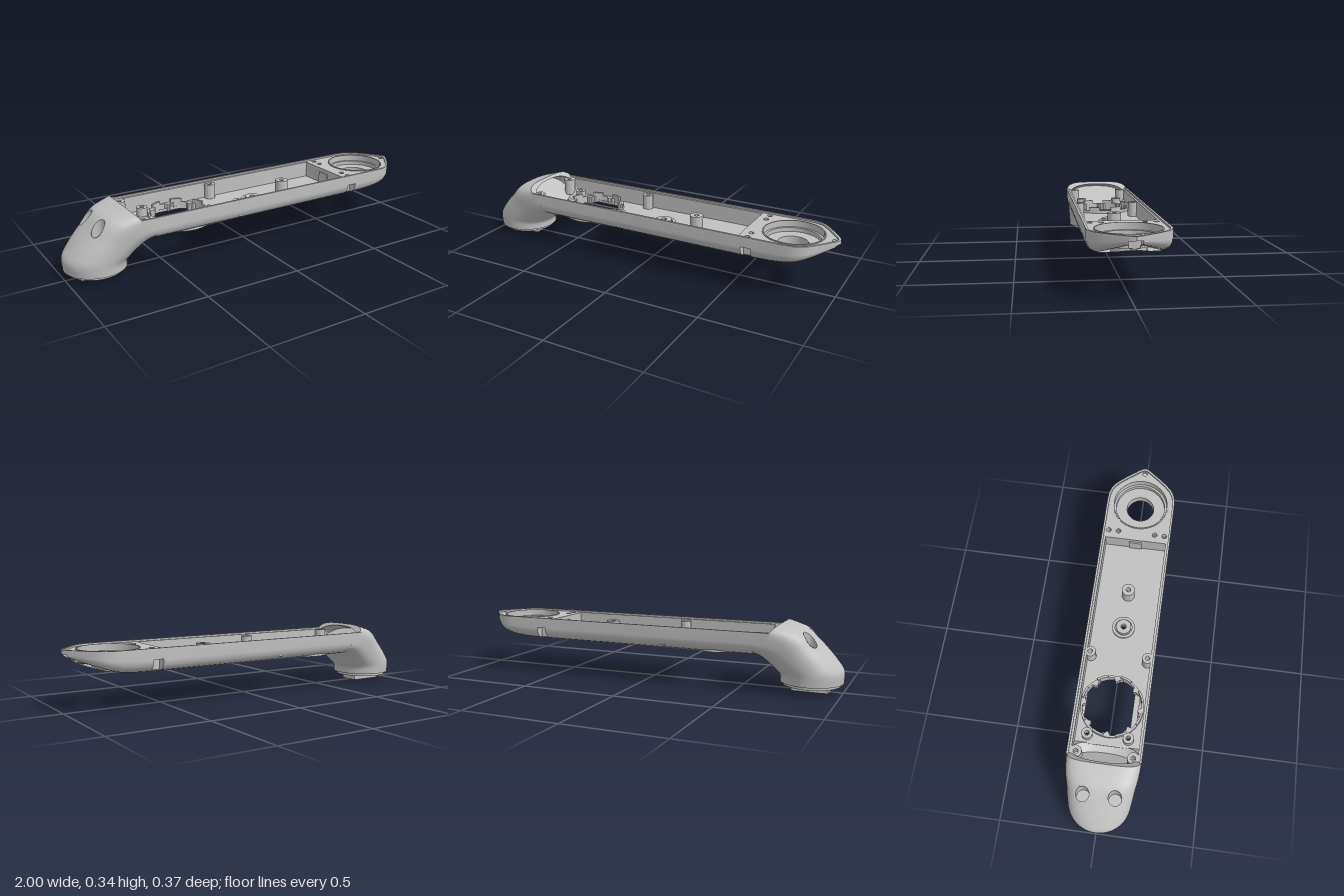
import * as THREE from 'three';
import { toCreasedNormals } from 'three/addons/utils/BufferGeometryUtils.js';

const TOP = 0.3, RIM = 0.291, FLOOR = 0.206, WALL = 0.165;
const HUB = 0.77;                       // centre of the round chamber
const BEND = 0.62;                      // where the underside starts to rise
const CORNER = 0.05;                    // rounding of the lower edge
const gearX = -0.38;

// Underside height along the arm, rising toward the tip
const bottomY = x => 0.185 + 0.075 * Math.max(0, (x - BEND) / (1 - BEND)) ** 2.4;
const squash = (x, y) => TOP - (TOP - y) * (TOP - bottomY(x)) / 0.115;

// Plan outline of one long side, from elbow to tip
const half = [[-0.6, 0.187], [0, 0.187], [0.569, 0.187], [0.57, 0.187], [0.62, 0.187], [0.621, 0.187], [0.66, 0.187],
  [0.7, 0.187], [0.74, 0.187], [0.77, 0.187], [0.8, 0.186], [0.82, 0.184], [0.85, 0.175], [0.88, 0.157], [0.91, 0.126],
  [0.94, 0.09], [0.97, 0.05], [0.985, 0.031], [0.986, 0.029], [0.995, 0.015], [1, 0]];
const outline = [...half.map(([x, z]) => [x, -z]), ...half.slice(0, -1).reverse()];

function inset([x, z], d) {
  const k = 1 - d / 0.187;
  return [x > HUB ? HUB + (x - HUB) * k : x, z * k];
}
const ring = (d, left) => outline.map(p => inset(p, d)).map(([x, z]) => [x < -0.5 ? left : x, z]);
const shapeOf = pts => new THREE.Shape(pts.map(p => new THREE.Vector2(...p)));

function circle(x, z, r) {
  return new THREE.Path().absarc(x, z, r, 0, Math.PI * 2, true);
}

// Horizontal slab from a plan shape
function slab(shape, y0, y1, rule) {
  const g = new THREE.ExtrudeGeometry(shape, { depth: y1 - y0, bevelEnabled: false, curveSegments: 32 });
  g.rotateX(-Math.PI / 2).translate(0, y0, 0);
  if (rule) {
    const p = g.attributes.position;
    for (let i = 0; i < p.count; i++) p.setY(i, rule(p.getX(i), p.getY(i)));
  }
  return toCreasedNormals(g, 0.6);
}

// Surface through rows of points
function loft(rows) {
  const n = rows[0].length, index = [];
  for (let i = 0; i < rows.length - 1; i++) for (let j = 0; j < n - 1; j++) {
    const a = i * n + j, b = a + n;
    index.push(a, b, b + 1, a, b + 1, a + 1);
  }
  const g = new THREE.BufferGeometry();
  g.setAttribute('position', new THREE.Float32BufferAttribute(rows.flat(2), 3));
  g.setIndex(index);
  return toCreasedNormals(g, 0.6);
}

function tubeShape(x, z, outer, inner) {
  const s = new THREE.Shape().absarc(x, z, outer, 0, Math.PI * 2, false);
  s.holes.push(circle(x, z, inner));
  return s;
}

// Toothed opening
function gearPath() {
  const pts = [];
  for (let i = 0; i < 96; i++) {
    const a = -i / 96 * Math.PI * 2;
    const r = i % 12 < 2 ? 0.133 : i % 12 < 4 ? 0.143 : 0.152;
    pts.push(new THREE.Vector2(gearX + r * Math.cos(a), r * Math.sin(a)));
  }
  return new THREE.Path(pts);
}

// Hull: outline rows against levels from rim to underside
function hullGeometry() {
  const levels = [[0, TOP], [0, 0.246], [0, 0.244], [0.002, 0.23], [0.007, 0.215], [0.016, 0.202], [0.03, 0.192], [CORNER, 0.185]];
  return loft(outline.map(p => levels.map(([d, y], j) => {
    let [x, z] = inset(p, d);
    let h = squash(p[0], y);
    if (x < -0.5) x = -0.575 - (y - 0.185) * 0.9;
    // Side notches and tip notch
    if (j > 1 && p[0] > 0.5695 && p[0] < 0.6205) z = Math.sign(z) * Math.min(Math.abs(z), 0.142);
    if (j > 1 && p[0] > 0.9855) {
      x = Math.min(x, 0.94);
      h = 0.279 - 0.044 * (0.244 - y) / 0.059;
    }
    return [x, h, z];
  })));
}

// Rising underside around the chamber hole
function tipUnderside() {
  const edge = ring(CORNER, 0).filter(p => p[0] >= BEND);
  edge.push(edge[0]);
  const rows = [];
  for (let i = 0; i < edge.length - 1; i++) for (let k = 0; k < 6; k++) {
    const x = THREE.MathUtils.lerp(edge[i][0], edge[i + 1][0], k / 6);
    const z = THREE.MathUtils.lerp(edge[i][1], edge[i + 1][1], k / 6);
    const d = Math.hypot(x - HUB, z);
    rows.push(Array.from({ length: 11 }, (_, j) => {
      const s = THREE.MathUtils.lerp(1, 0.075 / d, j / 10), px = HUB + (x - HUB) * s;
      return [px, bottomY(px), z * s];
    }));
  }
  rows.push(rows[0]);
  return loft(rows);
}

// Elbow: sections swing from the round foot to the tray mouth
function elbowGeometry() {
  // inner x, y, outer x, y, half width, squareness
  const sections = [
    [-0.69, 0.045, -1, 0.045, 0.157, 2], [-0.69, 0.075, -1, 0.105, 0.16, 2.05],
    [-0.667, 0.105, -0.965, 0.155, 0.165, 2.2], [-0.64, 0.135, -0.89, 0.232, 0.172, 2.5],
    [-0.612, 0.163, -0.815, 0.3, 0.181, 3], [-0.587, 0.179, -0.755, 0.321, 0.185, 3.5],
    [-0.56, 0.185, -0.7, 0.335, 0.187, 4]];
  const inner = new THREE.CatmullRomCurve3(sections.map(s => new THREE.Vector3(s[0], s[1], s[5])));
  const outer = new THREE.CatmullRomCurve3(sections.map(s => new THREE.Vector3(s[2], s[3], s[4])));
  const N = 280, R = 0.033;
  const section = (u, t, size = 1) => {
    const a = inner.getPoint(u), b = outer.getPoint(u);
    const k = size * (0.5 - t / Math.hypot(b.x - a.x, b.y - a.y));
    return Array.from({ length: N + 1 }, (_, j) => {
      const q = j / N * Math.PI * 2, e = 2 / (t ? 2.4 : a.z);
      const c = Math.sign(Math.cos(q)) * Math.abs(Math.cos(q)) ** e;
      const s = Math.sign(Math.sin(q)) * Math.abs(Math.sin(q)) ** e;
      let x = (a.x + b.x) / 2 + (b.x - a.x) * k * c;
      let y = (a.y + b.y) / 2 + (b.y - a.y) * k * c;
      let z = -(b.z - t) * size * s;
      // Two vertical screw bores in the sloping top
      const zc = z < 0 ? -0.08 : 0.08, dx = x + 0.845, dz = z - zc, d = Math.hypot(dx, dz);
      if (t === 0 && c > 0 && y > 0.15 && d < R * 1.2) {
        const f = d > R * 0.8 ? R / d : 1;
        y = d < R ? 0.175 : y + dx * (f - 1) * 0.9;
        x = -0.845 + dx * f;
        z = zc + dz * f;
      }
      return [x, y, z];
    });
  };
  const rows = [section(0, 0, 0.001)];
  for (let i = 0; i < 24; i++) rows.push(section(i / 24 * 0.35, 0));
  for (let i = 0; i < 80; i++) rows.push(section(0.35 + i / 80 * 0.45, 0));
  for (let i = 0; i <= 14; i++) rows.push(section(0.8 + i / 14 * 0.2, 0));
  for (let i = 0; i <= 6; i++) rows.push(section(1 - i * 0.045, 0.017));
  rows.push(section(0.73, 0.017, 0.001));
  return loft(rows);
}

export function createModel() {
  const group = new THREE.Group();
  group.name = 'armHousing';
  const grey = new THREE.MeshStandardMaterial({ color: 0xc0c0c0, side: THREE.DoubleSide });
  grey.name = 'grey plastic';
  const add = (name, geometry) => {
    const m = new THREE.Mesh(geometry, grey);
    m.name = name;
    group.add(m);
  };
  const box = (name, x0, x1, y0, y1, z0, z1) => add(name,
    new THREE.BoxGeometry(x1 - x0, y1 - y0, z1 - z0).translate((x0 + x1) / 2, (y0 + y1) / 2, (z0 + z1) / 2));
  const plate = (x0, x1, z) => shapeOf([[x0, -z], [x1, -z], [x1, z], [x0, z]]);

  add('hull', hullGeometry());
  add('elbow', elbowGeometry());
  add('tipUnderside', tipUnderside());

  // Floor with its openings
  const floorHoles = () => [gearPath(), circle(0.06, 0, 0.014), circle(0.25, 0, 0.02),
    circle(-0.54, 0.105, 0.011), circle(-0.54, -0.105, 0.011)];
  const floor = plate(-0.57, BEND, 0.187 - CORNER);
  floor.holes.push(...floorHoles(), circle(0.59, 0.1, 0.012), circle(0.59, -0.1, 0.012));
  add('floor', slab(floor, 0.185, 0.2));
  const lining = plate(-0.585, 0.55, 0.167);
  lining.holes.push(...floorHoles());
  add('floorLining', slab(lining, 0.203, FLOOR));

  // Rim ledge, raised lip and inner walls
  const ledge = shapeOf([...ring(0.01, -0.66), [-0.66, WALL], [0.545, WALL], [0.545, -WALL], [-0.66, -WALL]]);
  ledge.holes.push(circle(HUB, 0, 0.148), circle(0.97, 0, 0.013));
  for (const s of [-1, 1]) ledge.holes.push(circle(0.59, s * 0.153, 0.013), circle(0.59, s * 0.1, 0.013));
  add('rimLedge', slab(ledge, 0.25, RIM, (x, y) => y > 0.28 ? y : squash(x, y)));
  add('rimLip', slab(shapeOf([...ring(0, -0.67), ...ring(0.011, -0.67).reverse()]), 0.285, TOP));
  for (const s of [-1, 1])
    box('sideWall', -0.62, 0.55, 0.203, 0.2905, Math.min(s * WALL, s * 0.17), Math.max(s * WALL, s * 0.17));
  box('crossWall', 0.545, 0.555, 0.2, 0.2905, -WALL, WALL);
  box('cableLatch', 0.537, 0.546, 0.21, 0.27, -0.035, 0.035);

  // Round chamber at the tip
  add('chamberHoleWall', slab(tubeShape(HUB, 0, 0.08, 0.075), 0.185, 0.24, (x, y) => y > 0.2 ? y : bottomY(x)));
  add('chamberFloor', slab(tubeShape(HUB, 0, 0.15, 0.075), 0.235, 0.241));
  add('chamberStep', slab(tubeShape(HUB, 0, 0.15, 0.135), 0.24, 0.262));
  add('chamberWall', slab(tubeShape(HUB, 0, 0.153, 0.147), 0.236, 0.296));

  // Toothed motor ring with spaced clips
  const gear = new THREE.Shape().absarc(gearX, 0, 0.163, 0, Math.PI * 2, false);
  gear.holes.push(gearPath());
  add('motorRing', slab(gear, 0.183, 0.222));
  for (let i = 0; i < 8; i++) {
    const a = i * Math.PI / 4 + 0.25, clip = new THREE.Shape();
    clip.absarc(gearX, 0, 0.163, a, a + 0.38, false);
    clip.absarc(gearX, 0, 0.152, a + 0.38, a, true);
    add('motorClip', slab(clip, 0.22, 0.24));
  }

  // Screw bosses and standoffs: x, z, outer radius, bore, top
  const bosses = [[0.06, 0, 0.06, 0.045, 0.215], [0.06, 0, 0.04, 0.014, 0.226], [0.25, 0, 0.034, 0.012, 0.283]];
  for (const s of [-1, 1]) bosses.push([-0.645, s * 0.143, 0.03, 0.012, RIM], [-0.12, s * 0.149, 0.028, 0.012, 0.284],
    [-0.54, s * 0.105, 0.028, 0.012, 0.25]);
  for (const [x, z, r, bore, top] of bosses) add('screwBoss', slab(tubeShape(x, -z, r, bore), 0.204, top));

  // Foot disc and hollow plug
  add('footDisc', toCreasedNormals(new THREE.CylinderGeometry(0.14, 0.14, 0.016, 64).translate(-0.845, 0.038, 0), 0.6));
  const plug = plate(-0.935, -0.755, 0.051);
  plug.holes.push(plate(-0.92, -0.77, 0.036));
  add('footPlug', slab(plug, 0, 0.031));
  return group;
}
